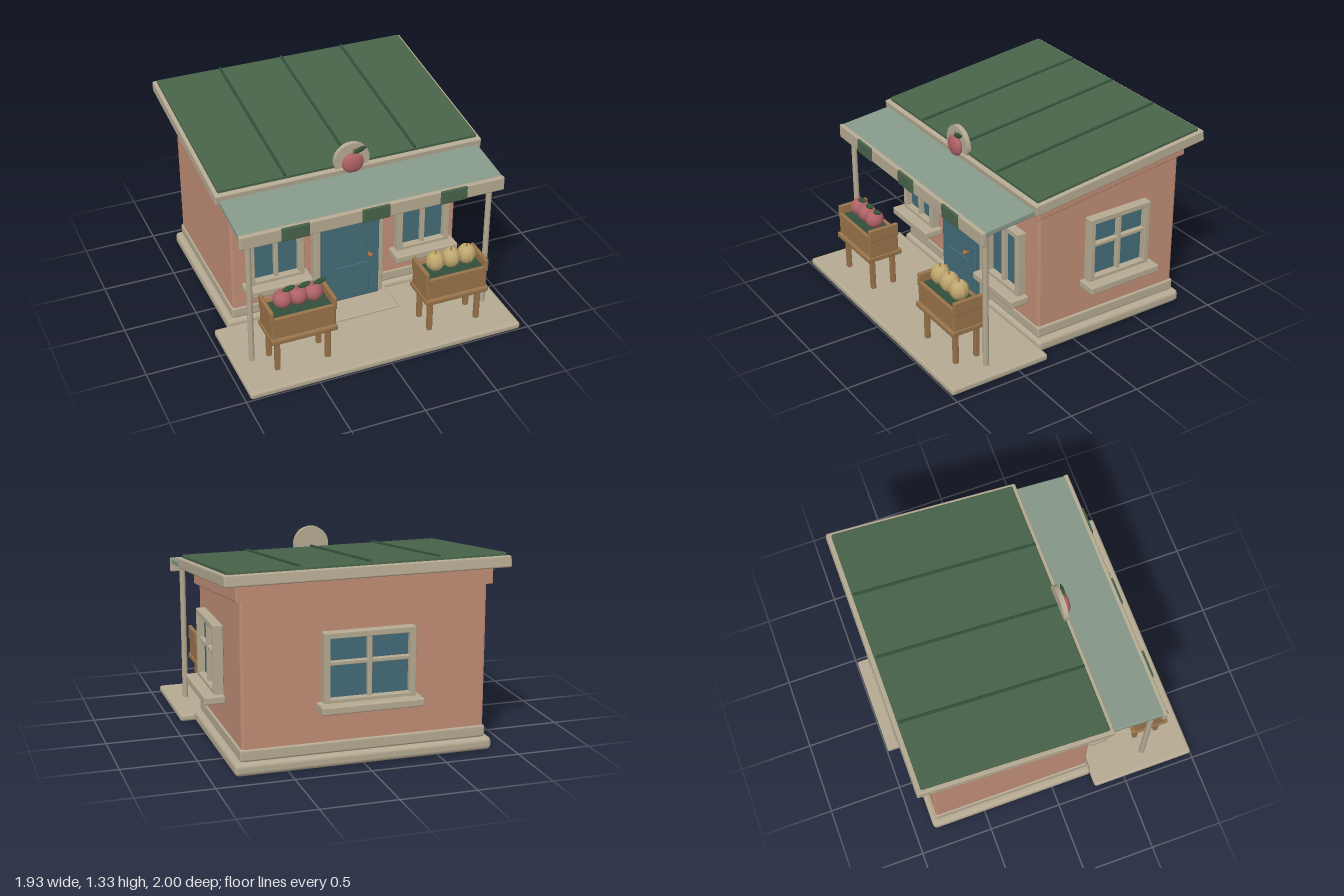
import * as THREE from 'three';
import { RoundedBoxGeometry } from 'three/addons/geometries/RoundedBoxGeometry.js';

const CX = -0.013; // centre line of the building

function material(name, color) {
  const m = new THREE.MeshStandardMaterial({ color });
  m.name = name;
  return m;
}

export function createModel() {
  const plaster = material('salmon plaster', 0xc08d76);
  const stone = material('cream trim', 0xb5aa92);
  const roofGreen = material('roof green', 0x48634a);
  const awningGreen = material('pale awning green', 0x86998a);
  const teal = material('teal', 0x436b78);
  const wood = material('wood', 0x98734a);
  const leafGreen = material('dark leaf green', 0x32503a);
  const red = material('apple red', 0xae6266);
  const yellow = material('melon yellow', 0xc0a76e);
  const copper = material('copper', 0xb5713c);

  const root = new THREE.Group();
  root.name = 'fruitShop';

  function group(name, parent = root) {
    const g = new THREE.Group();
    g.name = name;
    parent.add(g);
    return g;
  }
  function add(name, geo, mat, parent = root, x = 0, y = 0, z = 0) {
    const m = new THREE.Mesh(geo, mat);
    m.name = name;
    m.position.set(x, y, z);
    parent.add(m);
    return m;
  }
  // softly bevelled box given by its min and max on each axis
  function box(name, mat, [x0, x1], [y0, y1], [z0, z1], parent = root, bevel = 0.01) {
    const w = x1 - x0, h = y1 - y0, d = z1 - z0;
    const r = Math.min(bevel, Math.min(w, h, d) * 0.45);
    return add(name, new RoundedBoxGeometry(w, h, d, 2, r), mat, parent, (x0 + x1) / 2, (y0 + y1) / 2, (z0 + z1) / 2);
  }
  // side profile of [z, y] points swept from x0 to x1
  function prism(name, mat, points, x0, x1, bevel) {
    const shape = new THREE.Shape(points.map(([z, y]) => new THREE.Vector2(-z, y)));
    const geo = new THREE.ExtrudeGeometry(shape, {
      depth: x1 - x0 - 2 * bevel, bevelSize: bevel, bevelThickness: bevel, bevelOffset: -bevel, bevelSegments: 2,
    });
    geo.rotateY(Math.PI / 2);
    return add(name, geo, mat, root, x0 + bevel, 0, 0);
  }
  function cylinder(name, mat, r, h, x, y, z, parent = root, sides = 8) {
    return add(name, new THREE.CylinderGeometry(r, r, h, sides), mat, parent, x, y, z);
  }

  // ground, plinth and walls
  box('porchSlab', stone, [-0.967, 0.94], [0, 0.05], [0.28, 1], root, 0.018);
  box('doorStep', stone, [CX - 0.28, CX + 0.28], [0.04, 0.067], [0.28, 0.53]);
  box('plinth', stone, [-0.87, 0.845], [0, 0.085], [-0.87, 0.29], root, 0.03);
  box('baseTrim', stone, [-0.83, 0.805], [0.085, 0.165], [-0.84, 0.268], root, 0.015);
  prism('walls', plaster, [[0.26, 0.08], [-0.83, 0.08], [-0.83, 1.22], [0.26, 1.08]], -0.82, 0.793, 0.015);
  prism('cornice', plaster, [[0.285, 0.965], [-0.86, 1.11], [-0.86, 1.22], [0.285, 1.075]], -0.85, 0.823, 0.01);

  // sloping roof: frame, panel and seams
  const roof = group('roof');
  roof.position.set(CX, 1.18, -0.287);
  roof.rotation.x = 0.127;
  for (const s of [-1, 1]) {
    const a = s * 0.925, b = s * 0.885;
    box('roofSideTrim', stone, [Math.min(a, b), Math.max(a, b)], [-0.037, 0.037], [-0.657, 0.657], roof);
    const c = s * 0.657, d = s * 0.617;
    box('roofEndTrim', stone, [-0.925, 0.925], [-0.037, 0.037], [Math.min(c, d), Math.max(c, d)], roof);
  }
  box('roofPanel', roofGreen, [-0.9, 0.9], [-0.01, 0.058], [-0.63, 0.625], roof, 0.008);
  for (const x of [-0.451, 0, 0.451]) {
    cylinder('roofSeam', leafGreen, 0.01, 1.245, x, 0.061, 0, roof).rotation.x = Math.PI / 2;
  }

  // porch awning with fascia, painted tabs and posts
  const awning = group('awning');
  const sheet = box('awningSheet', awningGreen, [-0.9, 0.9], [-0.02, 0.02], [-0.25, 0.25], awning);
  sheet.position.set(CX, 1.063, 0.47);
  sheet.rotation.x = 0.115;
  box('awningFascia', stone, [CX - 0.905, CX + 0.905], [0.958, 1.055], [0.708, 0.742], awning);
  for (const x of [-0.54, 0, 0.54]) {
    box('fasciaTab', roofGreen, [CX + x - 0.094, CX + x + 0.094], [0.96, 1.056], [0.733, 0.752], awning, 0.008);
  }
  for (const s of [-1, 1]) cylinder('porchPost', stone, 0.02, 0.98, CX + s * 0.831, 0.54, 0.675, awning);

  // arched doorway
  function archShape(half, y0, yc) {
    const s = new THREE.Shape();
    s.moveTo(half, y0);
    s.lineTo(half, yc);
    s.absarc(0, yc, half, 0, Math.PI, false);
    s.lineTo(-half, y0);
    s.closePath();
    return s;
  }
  const door = group('door');
  door.position.x = CX;
  const surround = archShape(0.25, 0.05, 0.715);
  surround.holes.push(archShape(0.203, 0.085, 0.69));
  const bevelled = { bevelSize: 0.008, bevelThickness: 0.008, bevelOffset: -0.008, bevelSegments: 2, curveSegments: 20 };
  add('doorSurround', new THREE.ExtrudeGeometry(surround, { depth: 0.065, ...bevelled, bevelOffset: -0.008 }), stone, door, 0, 0, 0.25);
  add('doorLeaf', new THREE.ExtrudeGeometry(archShape(0.204, 0.083, 0.69), { depth: 0.075, ...bevelled }), teal, door, 0, 0, 0.272);
  box('upperPanel', teal, [-0.112, 0.112], [0.44, 0.687], [0.35, 0.361], door, 0.004);
  box('lowerPanel', teal, [-0.127, 0.127], [0.115, 0.36], [0.35, 0.361], door, 0.004);
  add('doorKnob', new THREE.SphereGeometry(0.016, 12, 8), copper, door, 0.127, 0.428, 0.385);
  cylinder('knobStem', copper, 0.007, 0.03, 0.127, 0.428, 0.367, door).rotation.x = Math.PI / 2;

  // windows, built facing +z with the wall at local z = 0 and sill top at y = 0
  function windowUnit(name, w, crossBar, x, y, z, turn) {
    const g = group(name);
    g.position.set(x, y, z);
    g.rotation.y = turn;
    const h = w / 2, H = 0.45;
    box('glass', teal, [-h + 0.02, h - 0.02], [0.01, H - 0.02], [0.03, 0.055], g, 0.003);
    for (const s of [-1, 1]) {
      const a = s * h, b = s * (h - 0.04);
      box('frameSide', stone, [Math.min(a, b), Math.max(a, b)], [0, H], [0.035, 0.1], g, 0.006);
    }
    box('frameTop', stone, [-h, h], [H - 0.04, H], [0.035, 0.099], g, 0.006);
    box('frameBottom', stone, [-h, h], [-0.01, 0.025], [0.035, 0.099], g, 0.006);
    box('mullion', stone, [-0.014, 0.014], [0.01, H - 0.02], [0.045, 0.088], g, 0.005);
    if (crossBar) box('crossBar', stone, [-h + 0.02, h - 0.02], [0.237, 0.263], [0.045, 0.086], g, 0.005);
    box('sill', stone, [-h - 0.035, h + 0.035], [-0.053, 0], [0.035, 0.172], g, 0.01);
  }
  for (const s of [-1, 1]) windowUnit('frontWindow', 0.385, false, CX + s * 0.527, 0.386, 0.262, 0);
  windowUnit('sideWindow', 0.475, true, 0.793, 0.443, -0.306, Math.PI / 2);
  windowUnit('backWindow', 0.6, true, CX, 0.443, -0.828, Math.PI);

  // fruit shapes
  function fruitGeometry(r, ribs, ribDepth) {
    const geo = new THREE.SphereGeometry(r, 40, 20);
    const p = geo.attributes.position;
    for (let i = 0; i < p.count; i++) {
      const x = p.getX(i), y = p.getY(i), z = p.getZ(i);
      const axis = Math.hypot(x, z) / r;
      const k = 1 + ribDepth * axis * Math.cos(ribs * Math.atan2(z, x));
      const dimple = 1 - 0.18 * Math.exp(-axis * axis * 14);
      p.setXYZ(i, x * k, y * dimple, z * k);
    }
    geo.computeVertexNormals();
    return geo;
  }
  const appleGeo = fruitGeometry(0.062, 1, 0);
  const melonGeo = fruitGeometry(0.061, 10, 0.045);
  const ball = new THREE.SphereGeometry(1, 14, 10);
  function leaf(parent, x, y, z, sx, sy, sz, tilt) {
    const m = add('leaf', ball, leafGreen, parent, x, y, z);
    m.scale.set(sx, sy, sz);
    m.rotation.z = tilt;
  }

  // emblem disc with an apple above the roof edge
  const emblem = group('appleEmblem');
  emblem.position.set(CX, 1.178, 0.34);
  cylinder('emblemDisc', stone, 0.122, 0.032, 0, 0, 0, emblem, 32).rotation.x = Math.PI / 2;
  const badge = add('emblemApple', appleGeo, red, emblem, 0, -0.01, 0.03);
  badge.scale.set(1.2, 1.15, 0.5);
  cylinder('emblemStem', wood, 0.006, 0.05, 0.005, 0.066, 0.028, emblem).rotation.z = -0.2;
  leaf(emblem, 0.045, 0.077, 0.033, 0.046, 0.018, 0.012, 0.3);

  // fruit stands
  function stand(name, x, fruitGeo, fruitMat, isApple) {
    const g = group(name);
    g.position.x = x;
    for (const sx of [-1, 1]) {
      for (const z of [0.668, 0.823]) {
        box('leg', wood, [sx * 0.173 - 0.017, sx * 0.173 + 0.017], [0.045, 0.285], [z - 0.016, z + 0.016], g, 0.005);
      }
      const end = sx * 0.205, cap = sx * 0.212;
      box('crateEnd', wood, [end - 0.013, end + 0.013], [0.315, 0.432], [0.64, 0.855], g, 0.006);
      box('crateEndBoard', wood, [cap - 0.014, cap + 0.014], [0.43, 0.525], [0.637, 0.86], g, 0.01);
    }
    box('standTop', wood, [-0.225, 0.225], [0.28, 0.318], [0.617, 0.877], g);
    box('crateFront', wood, [-0.212, 0.212], [0.322, 0.472], [0.835, 0.86], g, 0.007);
    box('crateBack', wood, [-0.212, 0.212], [0.322, 0.472], [0.637, 0.662], g, 0.007);
    box('crateLining', leafGreen, [-0.2, 0.2], [0.325, 0.462], [0.65, 0.845], g, 0.005);
    for (const i of [-1, 0, 1]) {
      const fx = i * (isApple ? 0.104 : 0.112);
      const f = add('fruit', fruitGeo, fruitMat, g, fx, 0.537, 0.752);
      if (!isApple) f.scale.y = 1.15;
      cylinder('fruitStem', wood, 0.005, 0.03, fx, 0.6, 0.752, g);
      if (isApple) leaf(g, fx + 0.045, 0.606, 0.755, 0.042, 0.014, 0.02, 0.2);
    }
  }
  stand('appleStand', -0.55, appleGeo, red, true);
  stand('melonStand', 0.522, melonGeo, yellow, false);

  return root;
}
